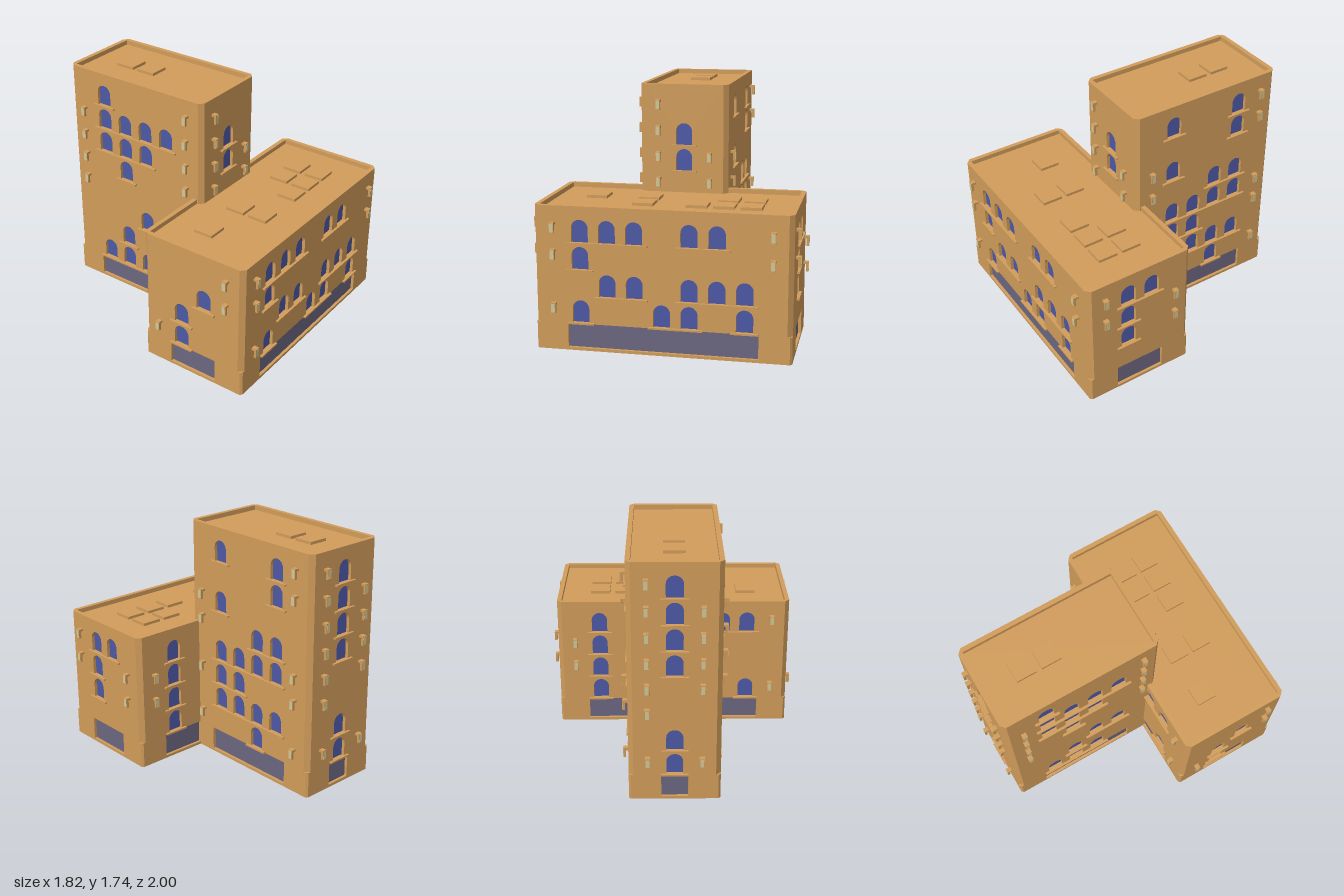
import * as THREE from 'three';

const P = 0.185;      // window grid pitch
const T = 0.033;      // wall thickness and corner width
const BASE = 0.19;    // ground floor height
const paint = (color) => new THREE.MeshStandardMaterial({ color, flatShading: true });
const stone = paint(0xd19c5a), glass = paint(0x4d59a6), shopGlass = paint(0x6b6680), glow = paint(0xcfc99a);

function add(parent, name, geometry, material, x = 0, y = 0, z = 0) {
  const mesh = new THREE.Mesh(geometry, material);
  mesh.name = name;
  mesh.position.set(x, y, z);
  parent.add(mesh);
  return mesh;
}
const box = (w, h, d) => new THREE.BoxGeometry(w, h, d);
const extrude = (shape, depth) => new THREE.ExtrudeGeometry(shape, { depth, bevelEnabled: false, curveSegments: 10 });
const polygon = (points) => new THREE.Shape(points.map(([x, y]) => new THREE.Vector2(x, y)));

// Arched opening standing on y
function arch(Kind, x, y, r = 0.0575, straight = 0.1) {
  const s = new Kind();
  s.moveTo(x - r, y);
  s.lineTo(x + r, y);
  s.lineTo(x + r, y + straight);
  s.absarc(x, y + straight, r, 0, Math.PI, false);
  s.lineTo(x - r, y);
  return s;
}

// Hooked wall lamp: bracket arm with a hanging head and a glowing front
const hook = extrude(polygon([[0, 0.018], [0.019, 0.018], [0.019, -0.035], [0.037, -0.035], [0.037, 0.035], [0, 0.035]]), 0.035);
hook.translate(0, 0, -0.0175).rotateY(-Math.PI / 2);
function wallLamp(parent, x, y) {
  const lamp = new THREE.Group();
  lamp.name = 'wallLamp';
  lamp.position.set(x, y, T);
  add(lamp, 'lampBracket', hook, stone);
  add(lamp, 'lampGlow', box(0.026, 0.06, 0.002), glow, 0, 0, 0.037);
  parent.add(lamp);
}

// One wall: local x runs along it, local z points outwards
function wall(width, height, { windows, lamps, shop }) {
  const g = new THREE.Group();
  const half = width / 2 - T;
  const face = polygon([[-half, 0], [half, 0], [half, height], [-half, height]]);
  if (shop) {
    const [a, b] = [-shop / 2, shop / 2];
    face.holes.push(new THREE.Path([[a, 0.02], [b, 0.02], [b, BASE], [a, BASE]].map((p) => new THREE.Vector2(...p))));
    add(g, 'shopWindow', box(shop, 0.17, 0.016), shopGlass, 0, 0.105, 0.004);
  }
  for (const [floor, columns] of windows) {
    const y = 0.195 + P * floor;
    for (const c of columns) {
      face.holes.push(arch(THREE.Path, c * P, y + 0.002));
      add(g, 'windowPane', extrude(arch(THREE.Shape, c * P, y + 0.002), 0.01), glass);
      add(g, 'windowSill', box(P, 0.012, 0.018), stone, c * P, y - 0.001, T + 0.009);
    }
  }
  for (const [column, floors] of lamps) for (const f of floors) wallLamp(g, column * P, 0.3 + P * f);
  add(g, 'wall', extrude(face, T), stone);
  return g;
}

// Block with four walls, chamfered corners and a sunken roof
function block(name, w, d, h, zCentre, faces, hatches) {
  const g = new THREE.Group();
  g.name = name;
  g.position.z = zCentre;
  add(g, 'core', box(w - 2 * T, h - T, d - 2 * T), stone, 0, (h - T) / 2);
  ['front', 'right', 'back', 'left'].forEach((side, i) => {
    const angle = i * Math.PI / 2;
    const [width, depth] = i % 2 ? [d, w] : [w, d];
    const turn = new THREE.Group();
    turn.name = side + 'Side';
    turn.rotation.y = angle;
    const face = wall(width, h, faces[side]);
    face.name = side + 'Wall';
    face.position.z = depth / 2 - T;
    turn.add(face);
    // Corner post: narrow chamfer at ground level, wide above
    const c = T - 0.015;
    const lower = extrude(polygon([[0, 0], [T, 0], [T, c], [c, T], [0, T]]), BASE);
    const upper = extrude(polygon([[0, 0], [T, 0], [0, T]]), h - BASE);
    lower.rotateX(-Math.PI / 2).rotateY(-Math.PI / 2);
    upper.rotateX(-Math.PI / 2).rotateY(-Math.PI / 2);
    add(turn, 'cornerBase', lower, stone, width / 2 - T, 0, depth / 2 - T);
    add(turn, 'cornerPost', upper, stone, width / 2 - T, BASE, depth / 2 - T);
    g.add(turn);
  });
  for (const [x, z] of hatches) add(g, 'roofHatch', box(0.145, 0.02, 0.145), stone, x * P, h - T + 0.01, z * P);
  return g;
}

export function createModel() {
  const model = new THREE.Group();
  model.name = 'building';

  // Wide low block; windows are [floor, columns], lamps are [column, floors]
  model.add(block('lowBlock', 1.74, 0.815, 1.0, 0.5525, {
    front: {
      shop: 1.295,
      windows: [[0, [-3, 0, 1, 3]], [1, [-2, -1, 1, 2, 3]], [2, [-3]], [3, [-3, -2, -1, 1, 2]]],
      lamps: [[-4, [0, 2, 3]], [4, [2, 3]]],
    },
    right: {
      shop: 0.37,
      windows: [[1, [-0.5]], [2, [-0.5]], [3, [-0.5, 0.5]]],
      lamps: [[-1.5, [2, 3]], [1.5, [1, 2]]],
    },
    back: {
      shop: 1.295,
      windows: [[0, [-3, 3]], [1, [-3]], [2, [-3]], [3, [-3, 2, 3]]],
      lamps: [[-4, [1, 2]], [4, [0, 3]]],
    },
    left: {
      shop: 0.37,
      windows: [[0, [-0.5]], [1, [-0.5]], [2, [0.5]]],
      lamps: [[-1.5, [0]], [1.5, [2, 3]]],
    },
  }, [[-3, -0.5], [-1, -0.5], [2, -0.5], [3, -0.5], [-1, 0.5], [1, 0.5], [2, 0.5], [3, 0.5]]));

  // Tall narrow tower
  model.add(block('tower', 0.63, 1.185, 1.74, -0.3725, {
    front: {
      windows: [[5, [0]], [6, [0]]],
      lamps: [[-1, [4, 5, 6, 7]], [1, [4, 5]]],
    },
    right: {
      shop: 0.74,
      windows: [[0, [0.5]], [1, [-1.5, -0.5, 0.5, 1.5]], [2, [-1.5, -0.5]], [3, [-1.5, -0.5, 0.5, 1.5]],
        [4, [0.5, 1.5]], [5, [-1.5]], [6, [1.5]], [7, [-1.5, 1.5]]],
      lamps: [[-2.5, [0, 2, 4, 5]], [2.5, [0, 2, 3, 6, 7]]],
    },
    back: {
      shop: 0.185,
      windows: [0, 1, 4, 5, 6, 7].map((f) => [f, [0]]),
      lamps: [[-1, [0, 2, 3, 4, 5, 6, 7]], [1, [0, 3, 4, 5, 6]]],
    },
    left: {
      shop: 0.74,
      windows: [[0, [-1.5, -0.5, 0.5]], [1, [-0.5]], [2, [0.5, 1.5]], [4, [-0.5]],
        [5, [-1.5, -0.5, 0.5]], [6, [-1.5, -0.5, 0.5, 1.5]], [7, [-1.5]]],
      lamps: [[-2.5, [3, 4, 5, 6]], [2.5, [4, 5, 6, 7]]],
    },
  }, [[0, -1.5], [0, -0.5]]));

  return model;
}
